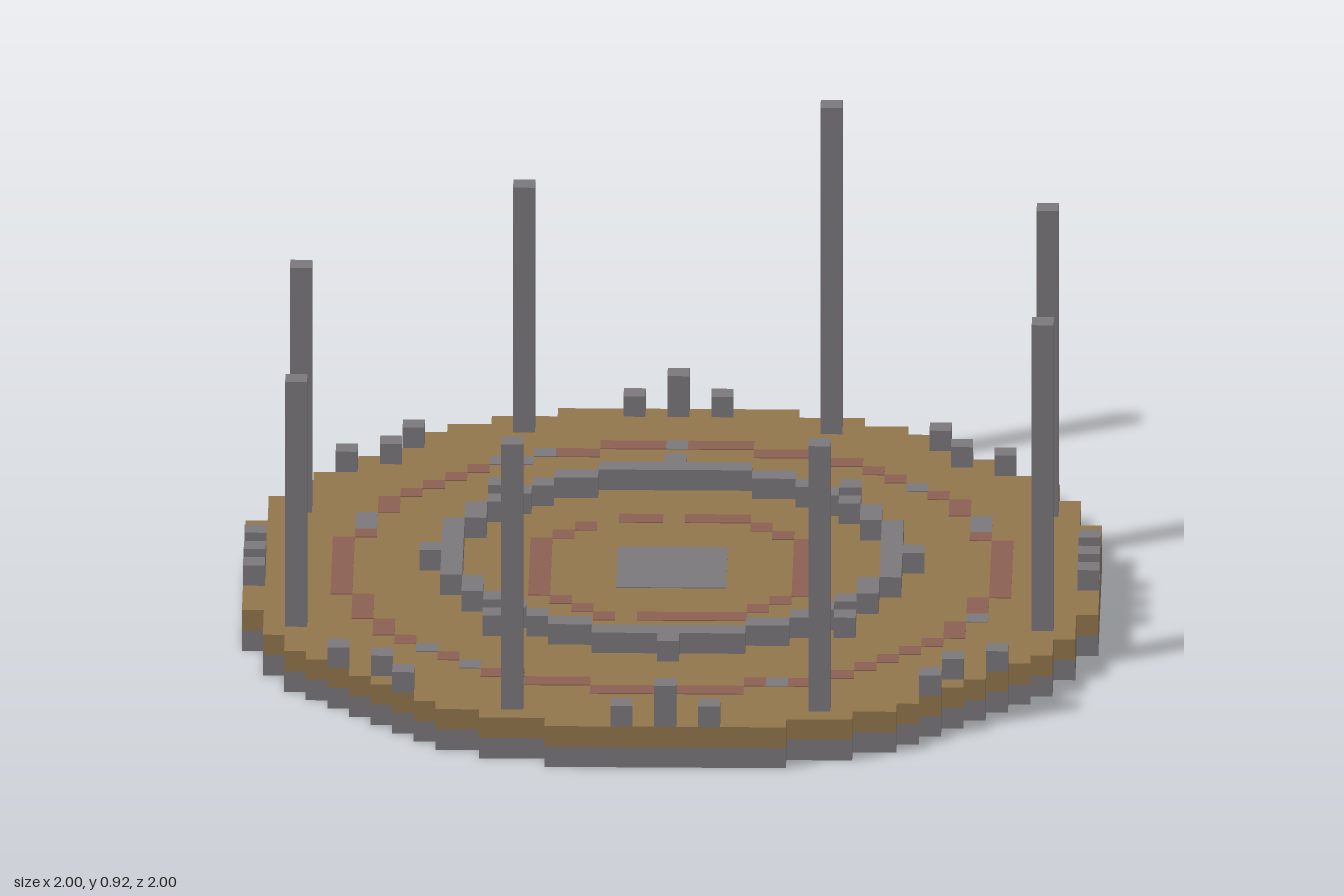
import * as THREE from 'three';
import { mergeGeometries } from 'three/addons/utils/BufferGeometryUtils.js';

const N = 19;              // cells run from -N to N on both axes
const U = 2 / (2 * N + 1); // size of one cell

const mat = (name, color) => {
  const m = new THREE.MeshStandardMaterial({ color });
  m.name = name;
  return m;
};

// Box covering cells x0..x1 of row z, between heights y0 and y1 (in cells)
function cellBox(x0, x1, z, y0, y1) {
  const g = new THREE.BoxGeometry((x1 - x0 + 1) * U, (y1 - y0) * U, U);
  return g.translate(((x0 + x1) / 2) * U, ((y0 + y1) / 2) * U, z * U);
}

// Fills every cell that passes the test, joining each row into runs
function layer(name, material, y0, y1, test) {
  const parts = [];
  for (let z = -N; z <= N; z++) {
    let start = null;
    for (let x = -N; x <= N + 1; x++) {
      const on = x <= N && test(x, z);
      if (on && start === null) start = x;
      if (!on && start !== null) {
        parts.push(cellBox(start, x - 1, z, y0, y1));
        start = null;
      }
    }
  }
  const mesh = new THREE.Mesh(mergeGeometries(parts), material);
  mesh.name = name;
  return mesh;
}

export function createModel() {
  const stone = mat('grey stone', 0x7b787c);
  const earth = mat('brown earth', 0x92764b);
  const clay = mat('red clay', 0x8b5f53);
  const group = new THREE.Group();
  group.name = 'stoneCircle';

  const r2 = (x, z) => x * x + z * z;
  const inDisc = (x, z) => r2(x, z) <= 390;
  const band = (r) => (x, z) => Math.round(Math.sqrt(r2(x, z))) === r;
  const inWall = band(10);
  const inOuterPath = band(15);
  const listed = (list) => (x, z) => list.some(([a, b]) => a === x && b === z);

  // Platform: stone foundation with a groove below the wall, earth on top
  group.add(layer('foundation', stone, 0, 1, (x, z) => inDisc(x, z) && !inWall(x, z)));
  group.add(layer('ground', earth, 1, 2, (x, z) => inDisc(x, z) && !inWall(x, z)));

  // Low ring wall with four points and four corner blocks
  group.add(layer('ringWall', stone, 1, 3, inWall));
  group.add(layer('wallBlocks', stone, 2, 3, (x, z) => {
    const a = Math.abs(x), b = Math.abs(z);
    return (a === 8 && b === 8) || (a + b === 11 && a * b === 0);
  }));

  // Flush inlays: two clay paths, grey patches and the centre square
  const top = 2.04;
  const patches = listed([[0, -15], [-6, -14], [-7, -13], [-8, -13], [-14, -6], [-14, -5],
    [11, -10], [14, -6], [14, -5], [14, 6], [5, 14], [-9, 12], [-11, 10]]);
  const gaps = listed([[0, -6], [-3, -6], [-2, 6]]);
  group.add(layer('outerPath', clay, 2, top, (x, z) => inOuterPath(x, z) && !patches(x, z)));
  group.add(layer('pathPatches', stone, 2, top, patches));
  group.add(layer('innerPath', clay, 2, top,
    (x, z) => r2(x, z) >= 35 && r2(x, z) <= 45 && !gaps(x, z)));
  group.add(layer('centreSquare', stone, 2, top,
    (x, z) => Math.max(Math.abs(x), Math.abs(z)) <= 2));

  // Small blocks along the rim, repeated on all sides
  group.add(layer('rimBlocks', stone, 2, 3, (x, z) => {
    const a = Math.max(Math.abs(x), Math.abs(z)), b = Math.min(Math.abs(x), Math.abs(z));
    return (a === 19 && (b === 0 || b === 2)) || (a === 15 && b === 12) || (a === 13 && b === 13);
  }));
  group.add(layer('tallRimBlocks', stone, 3, 4, (x, z) => x === 0 && Math.abs(z) === 19));

  // Eight standing pillars: x, z and top height in cells
  const pillars = [[7, 17, 15], [17, 7, 17], [17, -7, 17], [7, -17, 18],
    [-7, -17, 14], [-17, -7, 14], [-17, 7, 14], [-7, 17, 15]];
  for (const [x, z, h] of pillars) {
    const pillar = new THREE.Mesh(cellBox(x, x, z, 2, h), stone);
    pillar.name = 'pillar';
    group.add(pillar);
  }
  return group;
}
